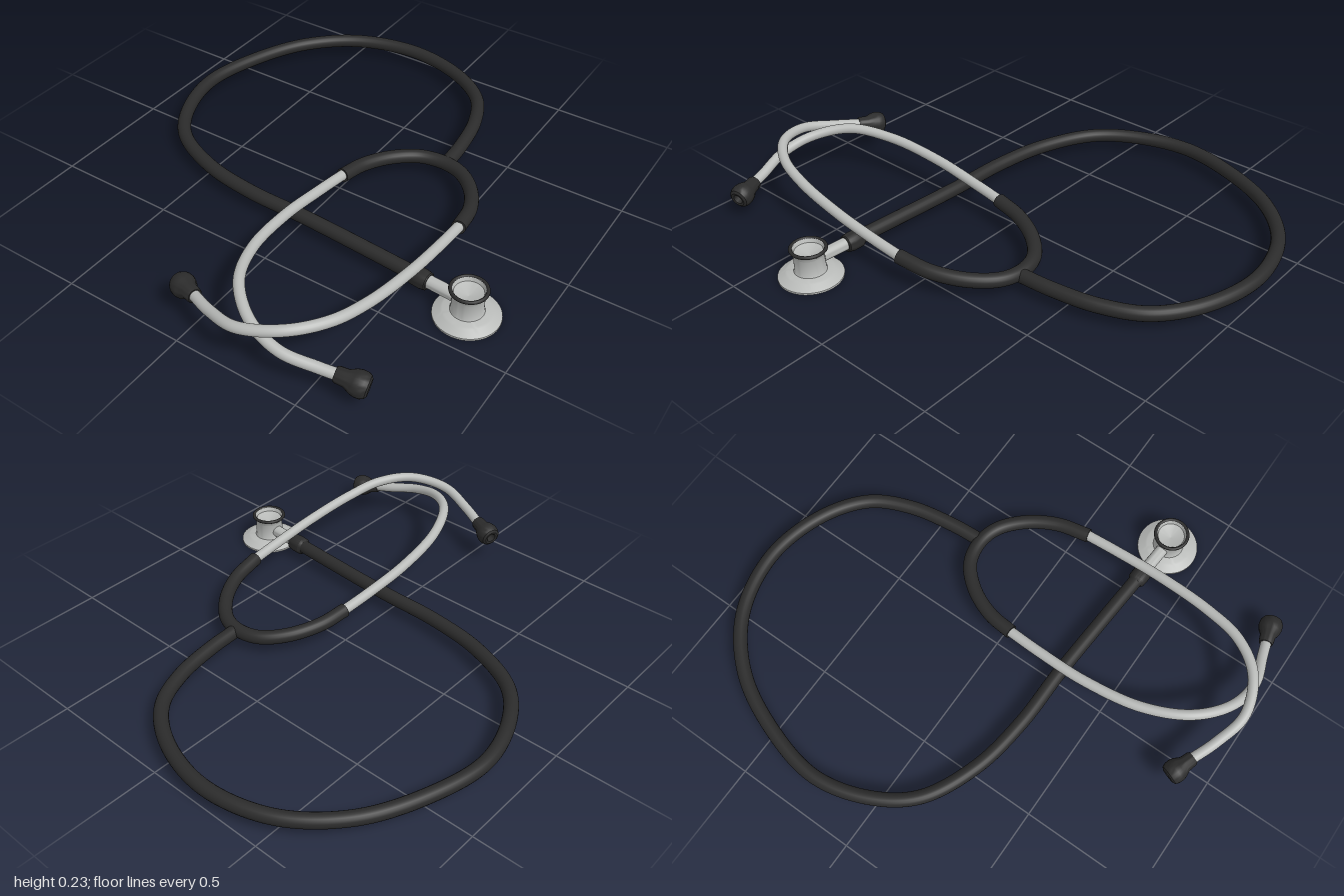
import * as THREE from 'three';
import { toCreasedNormals } from 'three/addons/utils/BufferGeometryUtils.js';

const rubber = new THREE.MeshStandardMaterial({ color: 0x2b2b2b });
rubber.name = 'black rubber';
const metal = new THREE.MeshStandardMaterial({ color: 0xb9bbb9 });
metal.name = 'satin metal';

const V = (p) => new THREE.Vector3(...p);
const Y = new THREE.Vector3(0, 1, 0);

function add(group, name, geometry, material) {
  const mesh = new THREE.Mesh(geometry, material);
  mesh.name = name;
  group.add(mesh);
  return mesh;
}

// Hose through a list of points, closed by a flat disc at each end
function hose(parent, name, points, radius, material, segments = 120) {
  const group = new THREE.Group();
  group.name = name;
  parent.add(group);
  const curve = new THREE.CatmullRomCurve3(points.map(V), false, 'centripetal');
  add(group, name + 'Wall', new THREE.TubeGeometry(curve, segments, radius, 20), material);
  for (const t of [0, 1]) {
    const cap = add(group, name + 'End', new THREE.CircleGeometry(radius, 20), material);
    const out = curve.getTangentAt(t).multiplyScalar(t ? 1 : -1);
    cap.position.copy(curve.getPointAt(t));
    cap.quaternion.setFromUnitVectors(new THREE.Vector3(0, 0, 1), out);
  }
}

// Turned part: profile of [radius, height], standing at a point along a direction
function turned(parent, name, profile, material, at, direction = Y, sides = 40) {
  const lathe = new THREE.LatheGeometry(profile.map(([r, h]) => new THREE.Vector2(r, h)), sides);
  const mesh = add(parent, name, toCreasedNormals(lathe, 0.6), material);
  mesh.position.copy(at);
  mesh.quaternion.setFromUnitVectors(Y, direction.clone().normalize());
  return mesh;
}

export function createModel() {
  const model = new THREE.Group();
  model.name = 'stethoscope';

  // Long looped hose lying flat
  const loop = [
    [0.315, -0.3], [0.305, -0.45], [0.27, -0.635], [0.19, -0.795], [0.02, -0.915],
    [-0.235, -0.972], [-0.5, -0.908], [-0.695, -0.74], [-0.815, -0.5], [-0.866, -0.25],
    [-0.81, -0.03], [-0.695, 0.13], [-0.475, 0.237], [-0.235, 0.278], [0.03, 0.285],
    [0.345, 0.305], [0.57, 0.322],
  ].map(([x, z]) => [x, 0.063, z]);
  hose(model, 'mainHose', loop, 0.0285, rubber, 220);

  // Forked yoke, rising towards the ear tubes
  const yoke = [
    [0.04, 0.04], [0.06, -0.08], [0.12, -0.2], [0.205, -0.28], [0.3, -0.302],
    [0.39, -0.28], [0.48, -0.2], [0.545, -0.08], [0.57, 0.06],
  ].map(([x, z]) => [x, 0.069 + 0.117 * (z + 0.3), z]);
  hose(model, 'yoke', yoke, 0.0285, rubber);

  // Crossing metal ear tubes
  const leftTube = [
    [0.042, 0.107, 0.01], [0.03, 0.126, 0.185], [0.025, 0.152, 0.4], [0.055, 0.18, 0.635],
    [0.135, 0.197, 0.81], [0.265, 0.173, 0.915], [0.4, 0.14, 0.942], [0.53, 0.112, 0.908],
    [0.61, 0.1, 0.886],
  ];
  const rightTube = [
    [0.568, 0.108, 0.02], [0.57, 0.126, 0.185], [0.565, 0.152, 0.4], [0.54, 0.182, 0.635],
    [0.495, 0.205, 0.795], [0.4, 0.212, 0.915], [0.25, 0.19, 0.973], [0.11, 0.158, 0.94],
    [-0.01, 0.134, 0.89],
  ];
  hose(model, 'leftEarTube', leftTube, 0.021, metal);
  hose(model, 'rightEarTube', rightTube, 0.021, metal);

  // Flared soft ear tips with a hollow end
  const tip = [
    [0, 0], [0.025, 0], [0.029, 0.008], [0.031, 0.04], [0.043, 0.064], [0.047, 0.082],
    [0.046, 0.1], [0.04, 0.114], [0.03, 0.12], [0.02, 0.118], [0.018, 0.085], [0, 0.085],
  ];
  turned(model, 'leftEarTip', tip, rubber, V([0.583, 0.104, 0.893]), V([0.112, -0.022, -0.028]), 28);
  turned(model, 'rightEarTip', tip, rubber, V([0.013, 0.138, 0.9]), V([-0.115, -0.022, -0.043]), 28);

  // Chest piece: wide diaphragm below, waist, small open bell above
  const chest = new THREE.Group();
  chest.name = 'chestPiece';
  chest.position.set(0.765, 0, 0.337);
  model.add(chest);
  const origin = new THREE.Vector3();
  turned(chest, 'diaphragmHead', [
    [0, 0.003], [0.116, 0.003], [0.118, 0], [0.125, 0.001], [0.125, 0.009],
    [0.118, 0.013], [0.096, 0.026], [0.088, 0.03], [0, 0.03],
  ], metal, origin, Y, 56);
  turned(chest, 'bell', [
    [0, 0.028], [0.064, 0.028], [0.06, 0.036], [0.058, 0.1], [0.061, 0.11],
    [0.068, 0.118], [0.068, 0.128], [0.06, 0.128], [0.054, 0.112], [0, 0.092],
  ], metal, origin);
  const rim = add(chest, 'bellRim', new THREE.TorusGeometry(0.066, 0.007, 12, 48), rubber);
  rim.rotation.x = Math.PI / 2;
  rim.position.y = 0.125;

  // Metal stem and the collar where the hose meets it
  const along = V([0.2, 0, 0.015]);
  turned(model, 'stem', [[0, 0], [0.025, 0], [0.025, 0.17], [0, 0.17]], metal,
    V([0.56, 0.063, 0.322]), along, 24);
  turned(model, 'hoseCollar', [
    [0, 0], [0.029, 0], [0.037, 0.012], [0.038, 0.05], [0.034, 0.074], [0.03, 0.078], [0, 0.078],
  ], rubber, V([0.525, 0.061, 0.319]), along, 24);

  return model;
}
